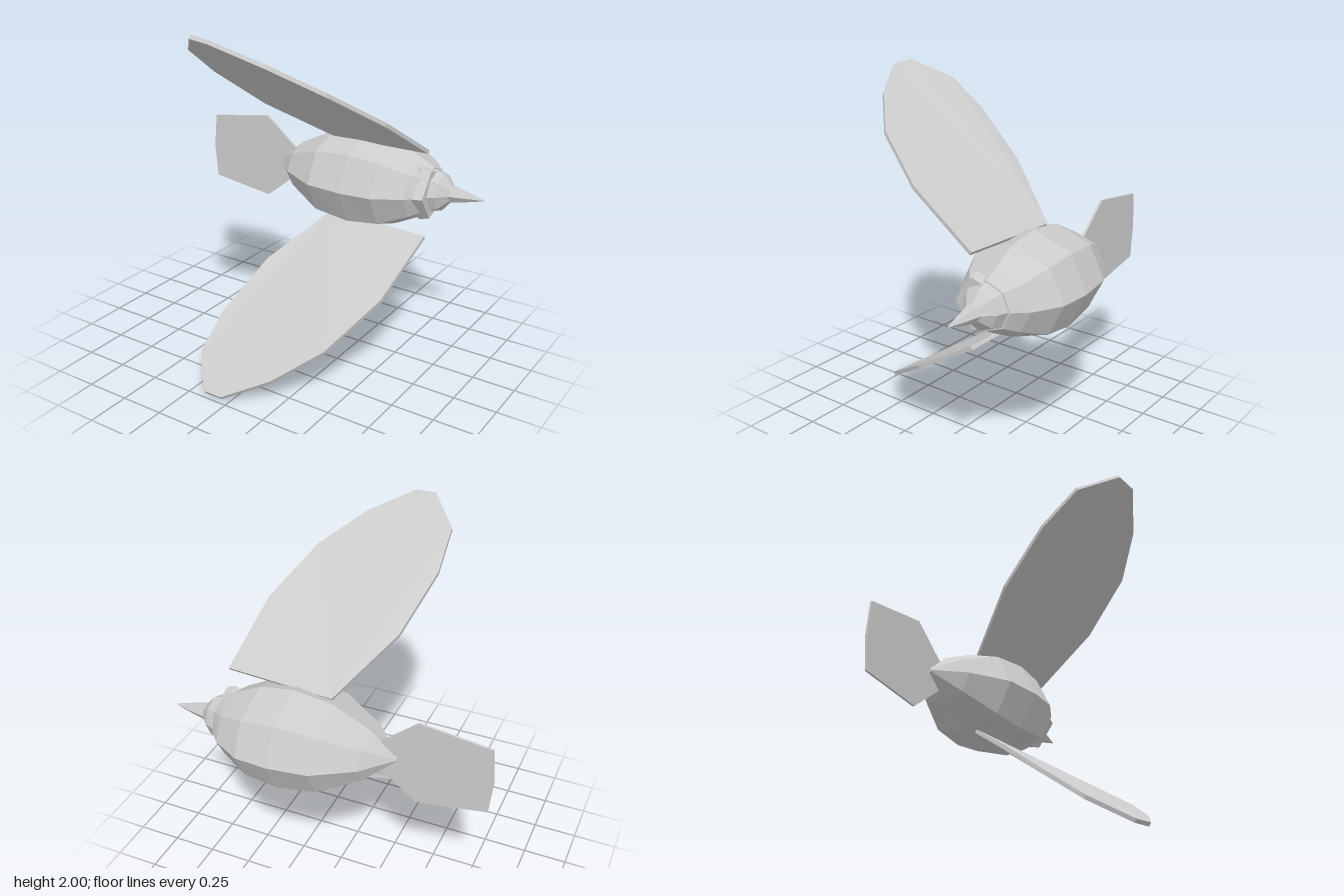
import * as THREE from 'three';

const material = new THREE.MeshStandardMaterial({ color: 0xcccccc, flatShading: true });

// Skin a list of rings (arrays of Vector3) into a closed faceted solid
function loft(name, rings) {
  const tris = [], n = rings[0].length, last = rings[rings.length - 1];
  for (let i = 0; i < rings.length - 1; i++) {
    for (let j = 0; j < n; j++) {
      const k = (j + 1) % n, a = rings[i], b = rings[i + 1];
      tris.push([a[j], b[j], a[k]], [b[j], b[k], a[k]]);
    }
  }
  for (let j = 1; j < n - 1; j++) {
    tris.push([rings[0][0], rings[0][j], rings[0][j + 1]], [last[0], last[j + 1], last[j]]);
  }
  // Keep faces pointing outwards whichever way the rings wind
  const origin = rings[0][0], v = new THREE.Vector3();
  let volume = 0;
  for (const t of tris) {
    const [a, b, c] = t.map((p) => p.clone().sub(origin));
    volume += a.dot(v.crossVectors(b, c));
  }
  const pos = [];
  for (const t of tris) {
    for (const p of volume < 0 ? [t[0], t[2], t[1]] : t) pos.push(p.x, p.y, p.z);
  }
  const geo = new THREE.BufferGeometry();
  geo.setAttribute('position', new THREE.Float32BufferAttribute(pos, 3));
  geo.computeVertexNormals();
  const mesh = new THREE.Mesh(geo, material);
  mesh.name = name;
  return mesh;
}

// The body axis runs along x with a slight yaw
const axisZ = (x) => -0.41 - 0.027 * x;

// Elliptical cross-section across the body axis
function ring(x, ry, rz, sides, z = axisZ(x)) {
  return Array.from({ length: sides }, (_, i) => {
    const a = (i / sides) * Math.PI * 2;
    return new THREE.Vector3(x, 1 + ry * Math.sin(a), z + rz * Math.cos(a));
  });
}

// Thin blade: an outline offset by half its thickness both ways
function blade(name, outline, normal, thickness) {
  const shift = (s) => outline.map((p) => p.clone().addScaledVector(normal, s * thickness / 2));
  return loft(name, [shift(-1), shift(1)]);
}

export function createModel() {
  const model = new THREE.Group();

  // Body: x, half height, half depth
  const body = [
    [-0.40, 0.012, 0.02], [-0.25, 0.14, 0.178], [-0.03, 0.252, 0.305], [0.19, 0.282, 0.33],
    [0.38, 0.255, 0.315], [0.54, 0.175, 0.225], [0.61, 0.135, 0.145],
  ];
  model.add(loft('body', body.map(([x, ry, rz]) => ring(x, ry, rz, 8))));

  // Head
  const head = [[0.57, 0.14, 0.15], [0.67, 0.11, 0.11], [0.73, 0.04, 0.045]];
  model.add(loft('head', head.map(([x, ry, rz]) => ring(x, ry, rz, 8))));

  // Five-sided collar between body and head
  model.add(loft('collar', [0.55, 0.575, 0.63].map((x, i) => {
    const r = [0.155, 0.166, 0.148][i];
    return ring(x, r, r, 5, -0.395);
  })));

  // Beak
  const beak = [[0.71, 0.052, 0.055], [0.82, 0.028, 0.03], [0.913, 0.004, 0.004]];
  model.add(loft('beak', beak.map(([x, ry, rz]) => ring(x, ry, rz, 6))));

  // Tail fan, standing upright behind the body
  const tail = [[-0.2, 1], [-0.51, 1.26], [-0.9, 1.203], [-0.918, 1], [-0.9, 0.8], [-0.51, 0.745]]
    .map(([x, y]) => new THREE.Vector3(x, y, -0.412 - 0.029 * x));
  model.add(blade('tail', tail, new THREE.Vector3(0.03, 0, 1), 0.013));

  // Wings, mirrored above and below the body axis
  const wing = [
    [-0.01, 0.24, -0.36], [0.615, 0.255, -0.335], [0.565, 0.505, 0.07], [0.41, 0.715, 0.4],
    [0.20, 0.865, 0.6], [-0.04, 0.98, 0.732], [-0.165, 0.99, 0.72], [-0.325, 0.882, 0.54],
    [-0.333, 0.72, 0.32], [-0.24, 0.485, 0],
  ];
  for (const side of [1, -1]) {
    const outline = wing.map(([x, y, z]) => new THREE.Vector3(x, 1 + side * y, z));
    const normal = new THREE.Vector3(0.04, side * 0.82, -0.57);
    model.add(blade(side > 0 ? 'upperWing' : 'lowerWing', outline, normal, 0.022));
  }
  return model;
}
